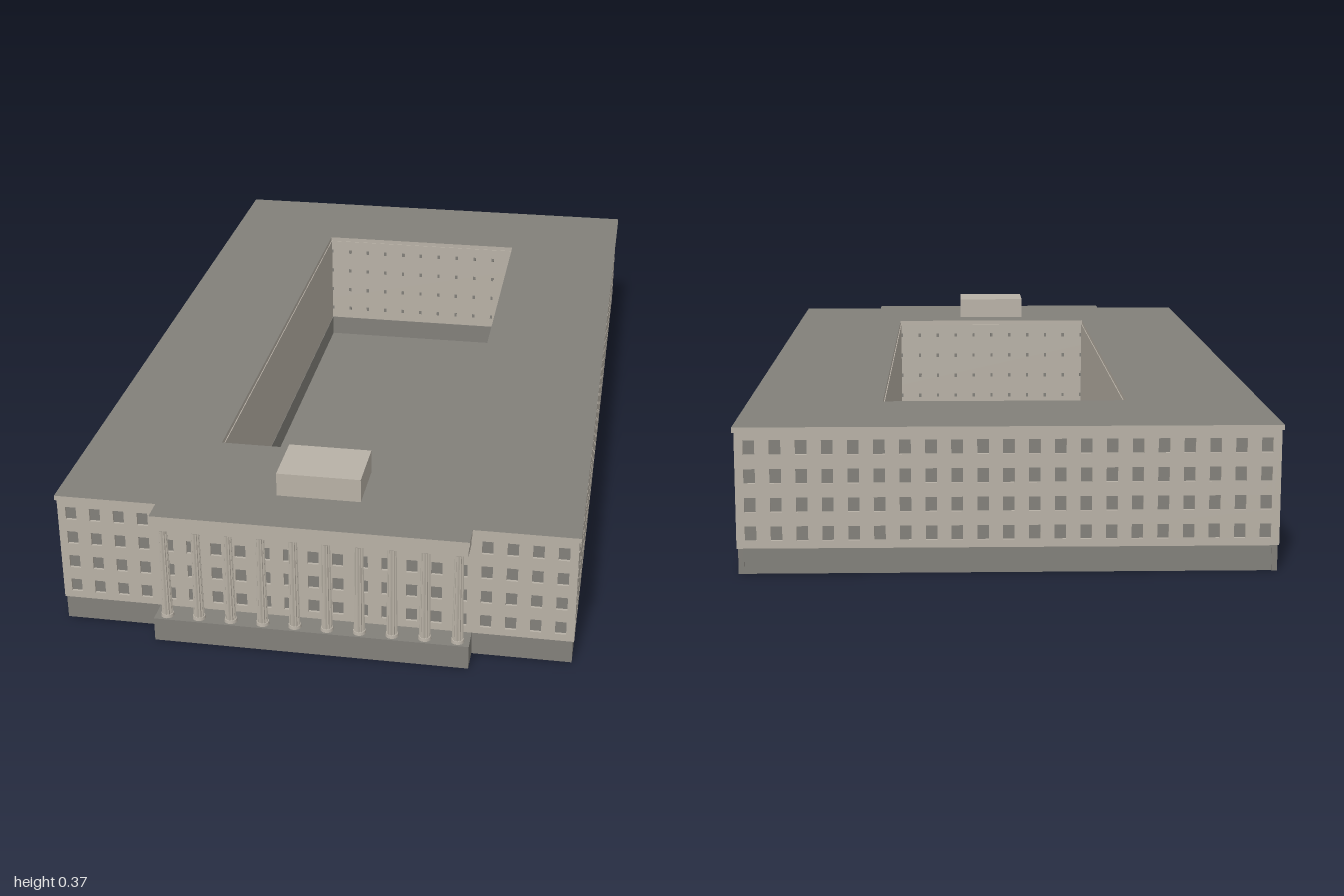
import * as THREE from 'three';

const stone = new THREE.MeshStandardMaterial({ color: 0xb8b1a6, side: THREE.DoubleSide });
stone.name = 'pale stone';
const grey = new THREE.MeshStandardMaterial({ color: 0x82807a, side: THREE.DoubleSide });
grey.name = 'dark grey';
const fluted = new THREE.MeshStandardMaterial({ color: 0xb8b1a5, flatShading: true });
fluted.name = 'column stone';

const HALF = 0.568, BACK = -0.997, FRONT = 0.944; // outer wall faces
const BASE = 0.055, EAVE = 0.302, TOP = 0.313;
const COURT = { x: 0.272, back: -0.705, front: 0.645 };
const ROWS = [0.087, 0.148, 0.209, 0.27];
const T = 0.012; // outer wall thickness

function add(parent, name, geometry, material, x = 0, y = 0, z = 0) {
  const mesh = new THREE.Mesh(geometry, material);
  mesh.name = name;
  mesh.position.set(x, y, z);
  parent.add(mesh);
  return mesh;
}

// box given by its limits
function block(parent, name, material, x0, x1, y0, y1, z0, z1) {
  return add(parent, name, new THREE.BoxGeometry(x1 - x0, y1 - y0, z1 - z0), material,
    (x0 + x1) / 2, (y0 + y1) / 2, (z0 + z1) / 2);
}

function rectangle(Type, x0, x1, y0, y1) {
  const r = new Type();
  r.moveTo(x0, y0);
  r.lineTo(x1, y0);
  r.lineTo(x1, y1);
  r.lineTo(x0, y1);
  r.closePath();
  return r;
}

// wall with a grid of recessed windows; its outer face is local z = 0
function windowWall(name, length, count, step, winWidth) {
  const group = new THREE.Group();
  group.name = name;
  const shape = rectangle(THREE.Shape, -length / 2, length / 2, BASE, EAVE);
  const w = winWidth / 2, h = 0.0155;
  for (let i = 0; i < count; i++) {
    const x = (i - (count - 1) / 2) * step;
    for (const y of ROWS) shape.holes.push(rectangle(THREE.Path, x - w, x + w, y - h, y + h));
  }
  const geometry = new THREE.ExtrudeGeometry(shape, { depth: T, bevelEnabled: false });
  add(group, 'wallFace', geometry, stone, 0, 0, -T);
  // window panes are one sheet inside the wall
  add(group, 'windowPanes', new THREE.PlaneGeometry(length - 0.02, EAVE - BASE - 0.01), grey,
    0, (BASE + EAVE) / 2, -T / 2);
  // plinth below the wall
  add(group, 'plinth', new THREE.BoxGeometry(length - 0.006, BASE, T - 0.004), grey, 0, BASE / 2, -T / 2 - 0.001);
  return group;
}

// fluted, tapering column
function column() {
  const group = new THREE.Group();
  group.name = 'column';
  const height = 0.278 - BASE;
  const shaft = new THREE.CylinderGeometry(0.0095, 0.0125, height, 24, 1, true);
  const p = shaft.attributes.position;
  for (let i = 0; i < p.count; i++) {
    const k = (i % 25) % 2 ? 0.84 : 1;
    p.setX(i, p.getX(i) * k);
    p.setZ(i, p.getZ(i) * k);
  }
  add(group, 'columnShaft', shaft, fluted, 0, BASE + height / 2, 0);
  add(group, 'columnFoot', new THREE.CylinderGeometry(0.0135, 0.0145, 0.007, 16), stone, 0, BASE + 0.0035, 0);
  add(group, 'columnCapital', new THREE.CylinderGeometry(0.0125, 0.0105, 0.006, 16), stone, 0, 0.275, 0);
  return group;
}

export function createModel() {
  const model = new THREE.Group();
  model.name = 'courtyardBuilding';

  // outer walls
  const depth = FRONT - BACK, mid = (FRONT + BACK) / 2;
  const front = windowWall('frontWall', HALF * 2, 21, 0.0538, 0.024);
  front.position.z = FRONT;
  const back = windowWall('backWall', HALF * 2, 21, 0.0538, 0.024);
  back.position.z = BACK;
  back.rotation.y = Math.PI;
  model.add(front, back);
  for (const s of [1, -1]) {
    const side = windowWall(s > 0 ? 'leftWall' : 'rightWall', depth - 2 * T, 33, 0.0582, 0.021);
    side.position.set(s * HALF, 0, mid);
    side.rotation.y = s * Math.PI / 2;
    model.add(side);
    // corner plinths
    for (const z of [BACK + T / 2 + 0.002, FRONT - T / 2 - 0.002]) {
      block(model, 'cornerPlinth', grey, s * HALF - s * 0.009 - 0.006, s * HALF - s * 0.009 + 0.006, 0, BASE, z - 0.007, z + 0.005);
    }
  }

  // courtyard: plain long walls, end walls running the full width
  for (const s of [1, -1]) {
    const x = s * COURT.x;
    block(model, 'courtSideWall', stone, x - 0.002, x + 0.002, BASE, EAVE, COURT.back, COURT.front);
    block(model, 'courtSidePlinth', grey, x - 0.003, x + 0.003, 0, BASE, COURT.back, COURT.front);
  }
  for (const z of [COURT.back, COURT.front]) {
    const w = HALF - T;
    block(model, 'courtEndWall', stone, -w, w, BASE, EAVE, z - 0.002, z + 0.002);
    block(model, 'courtEndPlinth', grey, -w, w, 0, BASE, z - 0.003, z + 0.003);
    // small vents through the end walls
    for (let i = -10; i <= 10; i++) {
      for (const y of ROWS) {
        add(model, 'courtVent', new THREE.BoxGeometry(0.007, 0.01, 0.008), grey, i * 0.0538, y, z);
      }
    }
  }
  const floor = add(model, 'courtFloor',
    new THREE.PlaneGeometry(COURT.x * 2, COURT.front - COURT.back), grey, 0, 0.001, (COURT.front + COURT.back) / 2);
  floor.rotation.x = -Math.PI / 2;

  // roof slab with courtyard opening and portico projection (shape y = -z)
  const outline = [[-0.572, 1], [-0.572, -0.947], [-0.344, -0.947], [-0.344, -1],
    [0.344, -1], [0.344, -0.947], [0.572, -0.947], [0.572, 1]];
  const roofShape = new THREE.Shape(outline.map(([x, y]) => new THREE.Vector2(x, y)));
  roofShape.holes.push(rectangle(THREE.Path, -COURT.x, COURT.x, -COURT.front, -COURT.back));
  const roof = add(model, 'roof',
    new THREE.ExtrudeGeometry(roofShape, { depth: TOP - EAVE, bevelEnabled: false }), [grey, stone], 0, EAVE, 0);
  roof.rotation.x = -Math.PI / 2;
  block(model, 'roofHouse', stone, -0.094, 0.092, TOP, 0.367, 0.73, 0.868);

  // portico
  block(model, 'porticoPlatform', grey, -0.347, 0.347, 0, BASE, FRONT - 0.004, 1);
  block(model, 'porticoBeam', stone, -0.342, 0.342, 0.278, EAVE, FRONT, 0.999);
  for (let i = 0; i < 10; i++) {
    const c = column();
    c.position.set((i - 4.5) * 0.0713, 0, 0.981);
    model.add(c);
  }
  return model;
}
